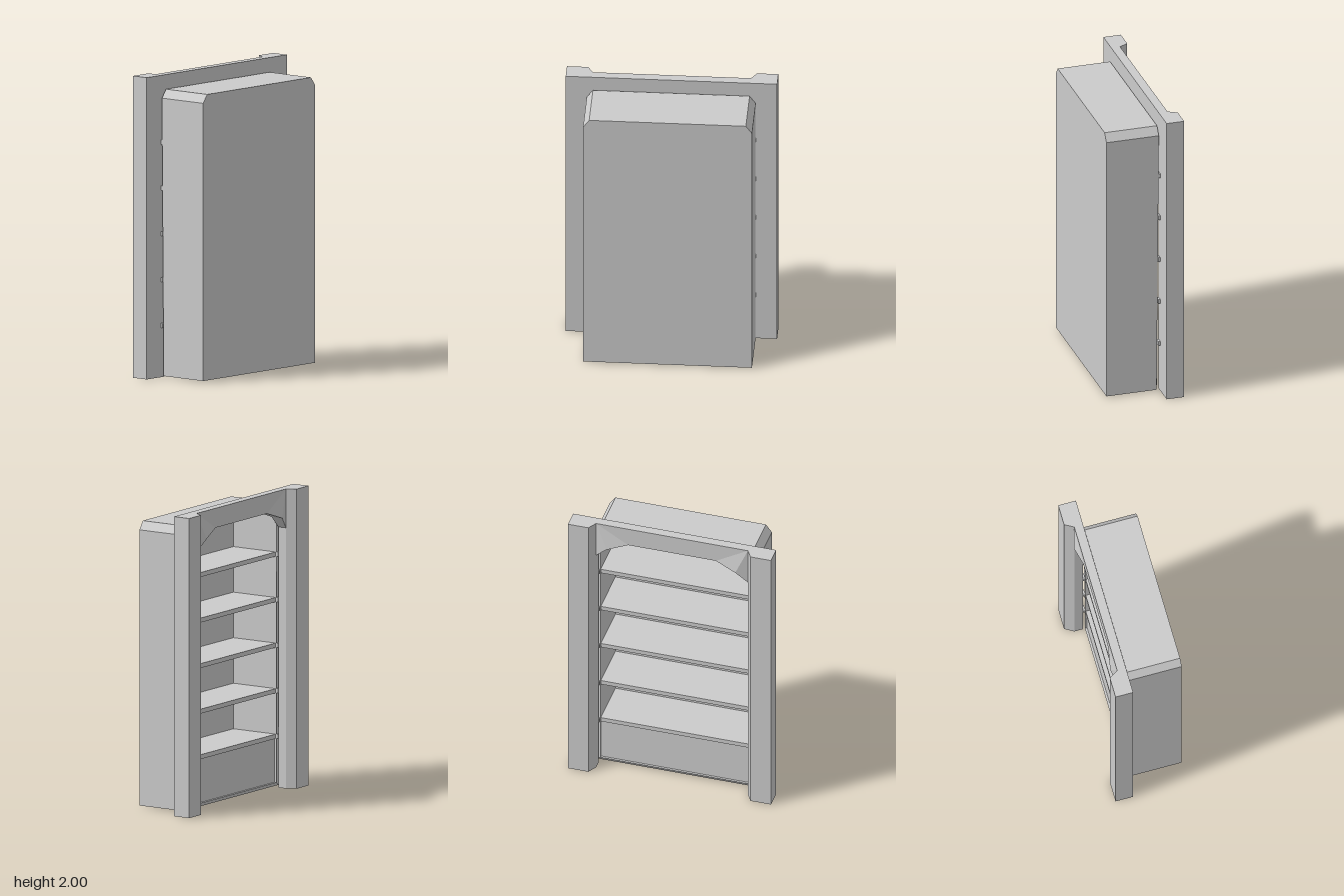
import * as THREE from 'three';
import { ConvexGeometry } from 'three/addons/geometries/ConvexGeometry.js';

const material = new THREE.MeshStandardMaterial({ color: 0xcccccc, flatShading: true });

function polygon(points, Type = THREE.Shape) {
  return new Type(points.map(([x, y]) => new THREE.Vector2(x, y)));
}

// Extrudes a shape along z from z0 to z1
function slab(shape, z0, z1) {
  const g = new THREE.ExtrudeGeometry(shape, { depth: z1 - z0, bevelEnabled: false });
  return g.translate(0, 0, z0);
}

// Rectangular outline with the two top corners cut off
function cutCorners(w, y0, y1, cx, cy) {
  return [[-w, y0], [w, y0], [w, y1 - cy], [w - cx, y1], [cx - w, y1], [-w, y1 - cy]];
}

export function createModel() {
  const model = new THREE.Group();
  const add = (name, geometry, parent = model) => {
    const mesh = new THREE.Mesh(geometry, material);
    mesh.name = name;
    parent.add(mesh);
    return mesh;
  };
  const box = (name, w, h, d, x, y, z, parent) =>
    add(name, new THREE.BoxGeometry(w, h, d).translate(x, y, z), parent);

  // Cabinet shell, open towards the frame
  const outline = cutCorners(0.555, 0.01, 1.905, 0.04, 0.055);
  const shell = polygon(outline);
  shell.holes.push(polygon(cutCorners(0.51, 0.035, 1.87, 0.04, 0.055), THREE.Path));
  const shellGeometry = slab(shell, -0.115, 0.225);
  const p = shellGeometry.attributes.position;
  for (let i = 0; i < p.count; i++) {
    // bevel along the lower edge of the open side
    if (p.getY(i) < 0.02 && p.getZ(i) < -0.11) p.setZ(i, -0.1);
  }
  shellGeometry.computeVertexNormals();
  add('cabinetShell', shellGeometry);
  add('cabinetPanel', slab(polygon(outline), 0.225, 0.245));

  // Shelves with small tabs at the ends of their edges
  const shelves = new THREE.Group();
  shelves.name = 'shelves';
  model.add(shelves);
  for (let i = 0; i < 5; i++) {
    const y = 0.342 + i * 0.304;
    box('shelf', 1.02, 0.03, 0.335, 0, y, 0.0575, shelves);
    for (const s of [-1, 1]) box('shelfTab', 0.04, 0.03, 0.014, s * 0.535, y, -0.118, shelves);
  }

  // Closed base compartment below the lowest shelf
  box('basePanel', 1.02, 0.295, 0.02, 0, 0.1815, -0.09);

  // Frame posts, splayed on the inner side
  for (const s of [-1, 1]) {
    const section = [[0.695, 0.125], [0.695, 0.245], [0.555, 0.245], [0.52, 0.185], [0.52, 0.125]];
    const post = slab(polygon(section.map(([x, y]) => [s * x, y])), 0, 2);
    add(s > 0 ? 'leftPost' : 'rightPost', post.rotateX(-Math.PI / 2));
  }

  // Lintel with an arched lower edge
  const arch = [[0.52, 1.74], [0.44, 1.82], [0.3, 1.87]];
  const lintel = polygon([
    [-0.52, 2], ...arch.map(([x, y]) => [-x, y]), ...[...arch].reverse(), [0.52, 2],
  ]);
  add('lintel', slab(lintel, -0.185, -0.125));

  // Raised facets at the arch corners
  for (const s of [-1, 1]) {
    const v = (x, y, z) => new THREE.Vector3(s * x, y, z);
    const bracket = new THREE.Group();
    bracket.name = 'archBracket';
    model.add(bracket);
    for (const [x, y] of [arch[0], arch[2]]) {
      add('bracketFacet', new ConvexGeometry([
        v(x, y, -0.185), v(0.44, 1.82, -0.185), v(0.44, 1.82, -0.21), v(0.52, 2, -0.185),
      ]), bracket);
    }
  }
  return model;
}
